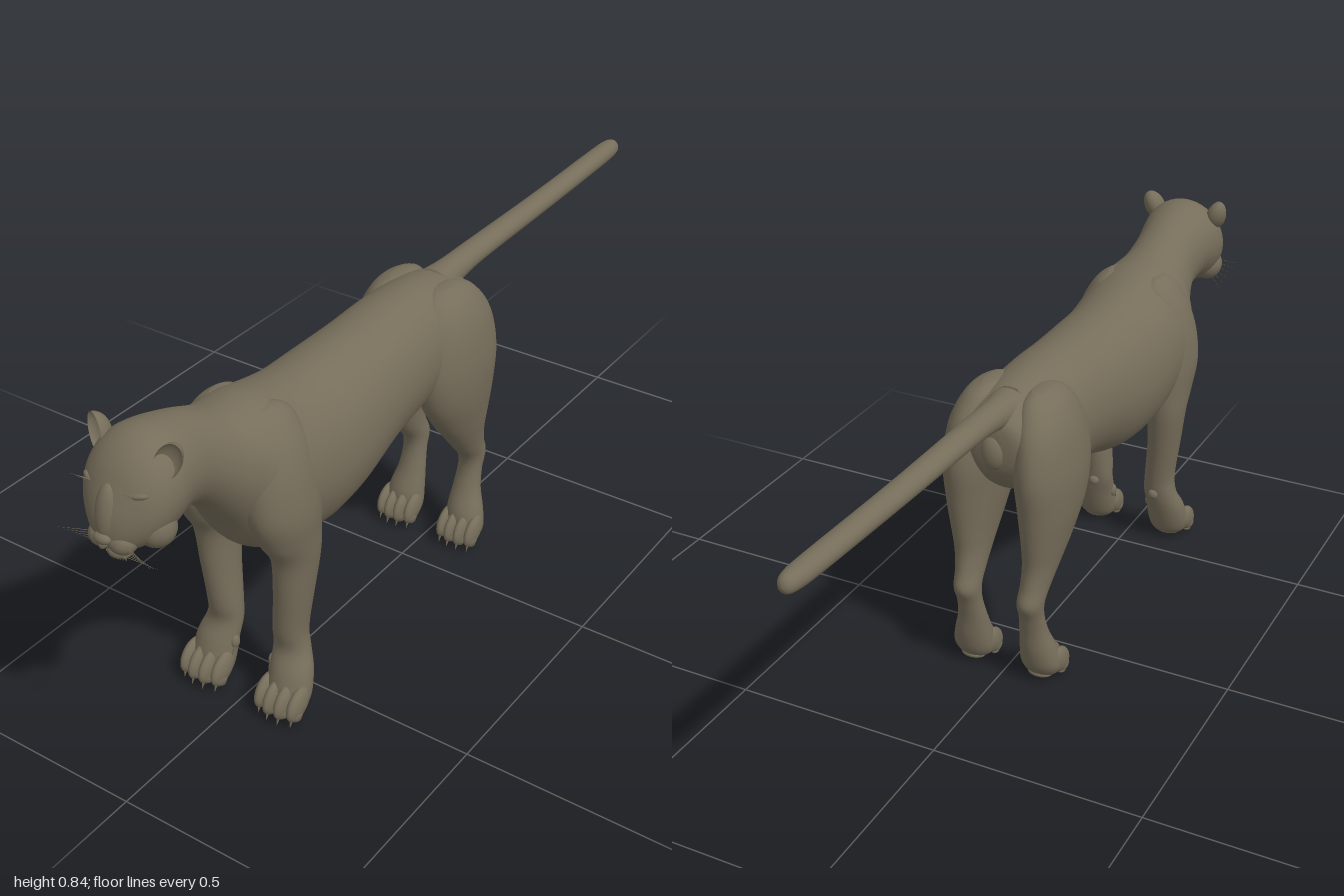
import * as THREE from 'three';

const fur = new THREE.MeshStandardMaterial({ color: 0x766d5a });
fur.name = 'taupe';

// Cubic blend of one channel of a section list
function blend(s, i, u, k) {
  const at = (n) => s[Math.min(Math.max(n, 0), s.length - 1)][k];
  const [a, b, c, d] = [at(i - 1), at(i), at(i + 1), at(i + 2)];
  return b + 0.5 * u * (c - a + u * (2 * a - 5 * b + 4 * c - d + u * (3 * (b - c) + d - a)));
}

// Smooth skin through oval sections [t, a0, a1, b0, b1].
// alongZ: t = z (rising), a = x, b = y.  Otherwise: t = y (falling), a = x, b = z.
function loft(name, sections, alongZ, sides = 32, steps = 5) {
  const pos = [], index = [], rows = (sections.length - 1) * steps + 1;
  const put = (t, a, b) => (alongZ ? pos.push(a, b, t) : pos.push(a, t, b));
  const ends = [];
  for (let r = 0; r < rows; r++) {
    const i = Math.min(Math.floor(r / steps), sections.length - 2), u = r / steps - i;
    const [t, a0, a1, b0, b1] = [0, 1, 2, 3, 4].map((k) => blend(sections, i, u, k));
    for (let j = 0; j < sides; j++) {
      const q = (j / sides) * Math.PI * 2;
      put(t, (a0 + a1) / 2 + ((a1 - a0) / 2) * Math.cos(q), (b0 + b1) / 2 + ((b1 - b0) / 2) * Math.sin(q));
    }
    if (r === 0 || r === rows - 1) ends.push([t, (a0 + a1) / 2, (b0 + b1) / 2]);
  }
  ends.forEach((e) => put(...e));
  for (let j = 0; j < sides; j++) {
    const n = (j + 1) % sides, last = (rows - 1) * sides;
    for (let r = 0; r < rows - 1; r++) {
      const p = r * sides;
      index.push(p + j, p + n, p + sides + j, p + n, p + sides + n, p + sides + j);
    }
    index.push(rows * sides, n, j, rows * sides + 1, last + j, last + n);
  }
  const g = new THREE.BufferGeometry();
  g.setAttribute('position', new THREE.Float32BufferAttribute(pos, 3));
  g.setIndex(index);
  g.computeVertexNormals();
  return named(name, g);
}

function named(name, geometry) {
  const m = new THREE.Mesh(geometry, fur);
  m.name = name;
  return m;
}

function blob(name, x, y, z, rx, ry, rz, tiltX = 0, tiltZ = 0) {
  const m = named(name, new THREE.SphereGeometry(1, 20, 14));
  m.position.set(x, y, z);
  m.scale.set(rx, ry, rz);
  m.rotation.set(tiltX, 0, tiltZ);
  return m;
}

// Thin tapering spike between two points
function spike(name, from, to, radius) {
  const a = new THREE.Vector3(...from), d = new THREE.Vector3(...to).sub(a);
  const m = named(name, new THREE.ConeGeometry(radius, d.length(), 6));
  m.position.copy(a).addScaledVector(d, 0.5);
  m.quaternion.setFromUnitVectors(new THREE.Vector3(0, 1, 0), d.normalize());
  return m;
}

const mirrorX = (sections, s) => sections.map(([t, a, b, c, d]) => (s > 0 ? [t, a, b, c, d] : [t, -b, -a, c, d]));
const centred = (sections) => sections.map(([t, w, b0, b1]) => [t, -w, w, b0, b1]);

// Paw: four toes with claws, and pads underneath
function paw(s, x, z, width) {
  const g = new THREE.Group();
  g.name = 'paw';
  for (let i = 0; i < 4; i++) {
    const k = i - 1.5, tx = s * (x + (k * width) / 4), tz = z - Math.abs(k) * 0.008;
    g.add(blob('toe', tx, 0.048, tz - 0.029, width * 0.142, 0.03, 0.043, 0.75));
    g.add(blob('toeTip', tx, 0.03, tz - 0.018, width * 0.135, 0.021, 0.021));
    g.add(spike('claw', [tx, 0.024, tz - 0.006], [tx, 0.001, tz + 0.003], 0.005));
    g.add(blob('toePad', tx, 0.014, tz - 0.022, width * 0.09, 0.008, 0.013));
  }
  g.add(blob('heelPad', s * x, 0.018, z - 0.068, width * 0.3, 0.011, 0.022));
  return g;
}

function ear(s) {
  // Sphere with its front half pushed in to form a cup
  const geo = new THREE.SphereGeometry(1, 24, 18), p = geo.attributes.position;
  for (let i = 0; i < p.count; i++) if (p.getZ(i) > 0) p.setZ(i, -0.6 * p.getZ(i));
  geo.computeVertexNormals();
  const m = named('ear', geo);
  m.position.set(s * 0.088, 0.798, 0.885);
  m.scale.set(0.026, 0.041, 0.034);
  m.rotation.set(-0.1, s * 0.35, s * -0.4);
  return m;
}

export function createModel() {
  const model = new THREE.Group();
  model.name = 'bigCat';

  // Trunk, neck and head in one skin: [z, half width, bottom, top]
  model.add(loft('body', centred([
    [-0.212, 0.02, 0.61, 0.66], [-0.2, 0.07, 0.55, 0.69], [-0.15, 0.1, 0.49, 0.715],
    [-0.07, 0.115, 0.46, 0.733], [0.05, 0.123, 0.44, 0.737], [0.17, 0.13, 0.415, 0.73],
    [0.3, 0.142, 0.37, 0.727], [0.4, 0.147, 0.355, 0.727], [0.48, 0.15, 0.365, 0.738],
    [0.56, 0.15, 0.385, 0.757], [0.62, 0.135, 0.42, 0.763], [0.67, 0.105, 0.5, 0.775],
    [0.74, 0.086, 0.588, 0.805], [0.81, 0.094, 0.622, 0.826], [0.865, 0.104, 0.612, 0.832],
    [0.905, 0.1, 0.606, 0.815], [0.935, 0.084, 0.606, 0.785], [0.957, 0.06, 0.612, 0.745],
    [0.972, 0.035, 0.625, 0.71], [0.98, 0.012, 0.645, 0.68],
  ]), true, 48));

  // Tail with a rounded tip
  model.add(loft('tail', centred([
    [-1, 0.003, 0.712, 0.718], [-0.993, 0.015, 0.7, 0.732], [-0.97, 0.023, 0.695, 0.739],
    [-0.9, 0.027, 0.691, 0.738], [-0.6, 0.029, 0.68, 0.729], [-0.3, 0.032, 0.671, 0.726],
    [-0.19, 0.036, 0.655, 0.725], [-0.12, 0.05, 0.64, 0.725],
  ]), true, 24));
  model.add(blob('rump', 0, 0.605, -0.2, 0.03, 0.045, 0.025));

  // Face centre line
  model.add(blob('noseBridge', 0, 0.7, 0.962, 0.024, 0.058, 0.02, -0.2));
  model.add(blob('nose', 0, 0.652, 0.981, 0.02, 0.012, 0.012));
  model.add(blob('noseTip', 0, 0.642, 0.98, 0.009, 0.014, 0.011));
  model.add(blob('chin', 0, 0.602, 0.937, 0.027, 0.017, 0.026));
  for (let i = -3; i <= 3; i++)
    model.add(spike('chinHair', [i * 0.007, 0.598, 0.95], [i * 0.0075, 0.58 + Math.abs(i) * 0.002, 0.947], 0.004));

  for (const s of [1, -1]) {
    // Face sides
    model.add(ear(s));
    model.add(blob('muzzle', s * 0.024, 0.638, 0.953, 0.03, 0.026, 0.028));
    model.add(blob('cheek', s * 0.06, 0.655, 0.9, 0.04, 0.042, 0.04));
    model.add(blob('eye', s * 0.05, 0.715, 0.942, 0.015, 0.01, 0.012, 0, s * 0.25));
    model.add(blob('brow', s * 0.05, 0.737, 0.934, 0.028, 0.009, 0.015, -0.4, s * 0.3));
    model.add(blob('lowerLid', s * 0.05, 0.701, 0.942, 0.02, 0.005, 0.011, 0, s * 0.25));
    for (let i = 0; i < 6; i++) {
      const y = 0.645 - i * 0.006;
      model.add(spike('whisker', [s * 0.035, y, 0.965],
        [s * (0.12 - i * 0.006), 0.632 - i * 0.011, 0.985 - i * 0.012], 0.0008));
    }
    for (let i = 0; i < 3; i++)
      model.add(spike('browHair', [s * (0.045 + i * 0.006), 0.742, 0.945], [s * (0.05 + i * 0.012), 0.765, 0.975], 0.0008));

    // Front leg from shoulder to paw: [y, inner x, outer x, back z, front z]
    model.add(loft('frontLeg', mirrorX([
      [0.742, 0.045, 0.07, 0.54, 0.59], [0.72, 0.025, 0.1, 0.505, 0.625], [0.67, 0.02, 0.132, 0.487, 0.645],
      [0.6, 0.02, 0.154, 0.478, 0.663], [0.52, 0.03, 0.163, 0.476, 0.664], [0.45, 0.042, 0.157, 0.479, 0.638],
      [0.39, 0.055, 0.151, 0.485, 0.606], [0.3, 0.057, 0.14, 0.5, 0.6], [0.2, 0.05, 0.128, 0.514, 0.595],
      [0.15, 0.048, 0.134, 0.52, 0.59], [0.105, 0.05, 0.15, 0.53, 0.612], [0.06, 0.05, 0.156, 0.543, 0.628],
      [0.03, 0.054, 0.152, 0.555, 0.635], [0.015, 0.065, 0.14, 0.567, 0.625],
    ], s), false));
    model.add(paw(s, 0.103, 0.655, 0.115));
    model.add(blob('wristPad', s * 0.085, 0.15, 0.522, 0.014, 0.014, 0.012));
    model.add(blob('dewToe', s * 0.052, 0.1, 0.575, 0.009, 0.017, 0.012));
    model.add(spike('dewClaw', [s * 0.05, 0.092, 0.58], [s * 0.05, 0.07, 0.592], 0.005));

    // Hind leg from haunch over the hock to the paw
    model.add(loft('hindLeg', mirrorX([
      [0.722, 0.045, 0.075, -0.12, -0.05], [0.7, 0.025, 0.112, -0.165, -0.005], [0.64, 0.02, 0.143, -0.207, 0.03],
      [0.55, 0.018, 0.158, -0.225, 0.047], [0.46, 0.026, 0.154, -0.216, 0.03], [0.38, 0.038, 0.14, -0.206, -0.02],
      [0.32, 0.046, 0.127, -0.2, -0.07], [0.27, 0.05, 0.117, -0.208, -0.112], [0.23, 0.05, 0.112, -0.222, -0.143],
      [0.19, 0.05, 0.11, -0.206, -0.148], [0.14, 0.045, 0.115, -0.195, -0.134], [0.09, 0.04, 0.13, -0.19, -0.112],
      [0.05, 0.038, 0.138, -0.182, -0.105], [0.028, 0.042, 0.134, -0.172, -0.1], [0.015, 0.055, 0.122, -0.162, -0.11],
    ], s), false));
    model.add(paw(s, 0.088, -0.08, 0.105));
  }
  return model;
}
